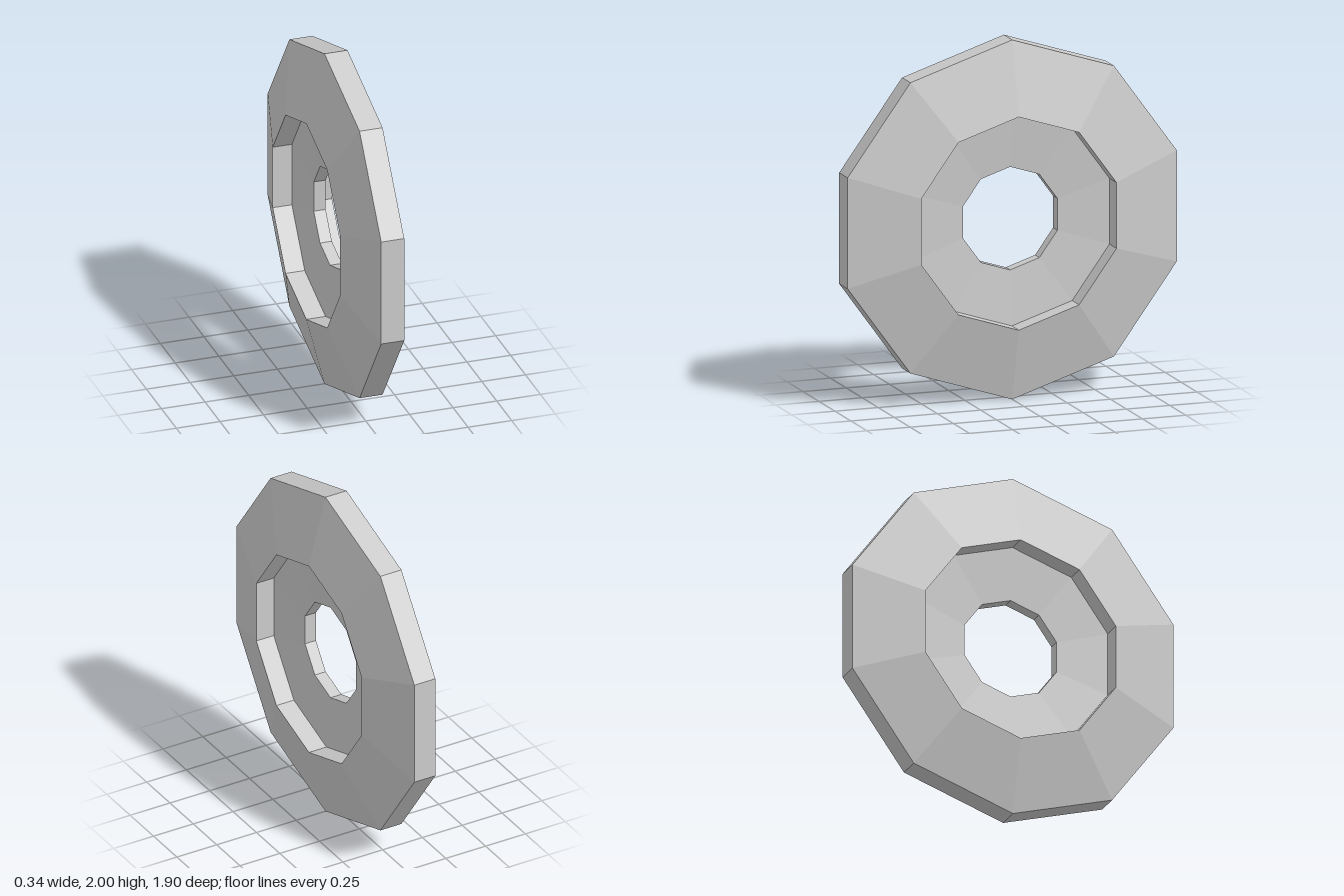
import * as THREE from 'three';

export function createModel() {
  const group = new THREE.Group();
  group.name = 'ringDisc';

  // Half of the cross-section as [radius, half thickness], from hole to rim
  const half = [
    [0.287, 0.034], // hole edge
    [0.593, 0.06],  // foot of the recess wall
    [0.593, 0.17],  // raised ridge
    [1, 0.066],     // outer rim
  ];
  const profile = [
    ...half.map(([r, t]) => new THREE.Vector2(r, -t)),
    ...half.slice().reverse().map(([r, t]) => new THREE.Vector2(r, t)),
  ];
  profile.push(profile[0].clone()); // close through the hole wall

  // Ten-sided ring, turned to lie across the x axis with a corner on top
  let geometry = new THREE.LatheGeometry(profile, 10, Math.PI / 2);
  geometry.rotateZ(-Math.PI / 2);
  geometry = geometry.toNonIndexed();
  geometry.computeVertexNormals();
  geometry.translate(0, 1, 0);

  const disc = new THREE.Mesh(
    geometry,
    new THREE.MeshStandardMaterial({ color: 0xcccccc, flatShading: true })
  );
  disc.name = 'disc';
  group.add(disc);
  return group;
}
